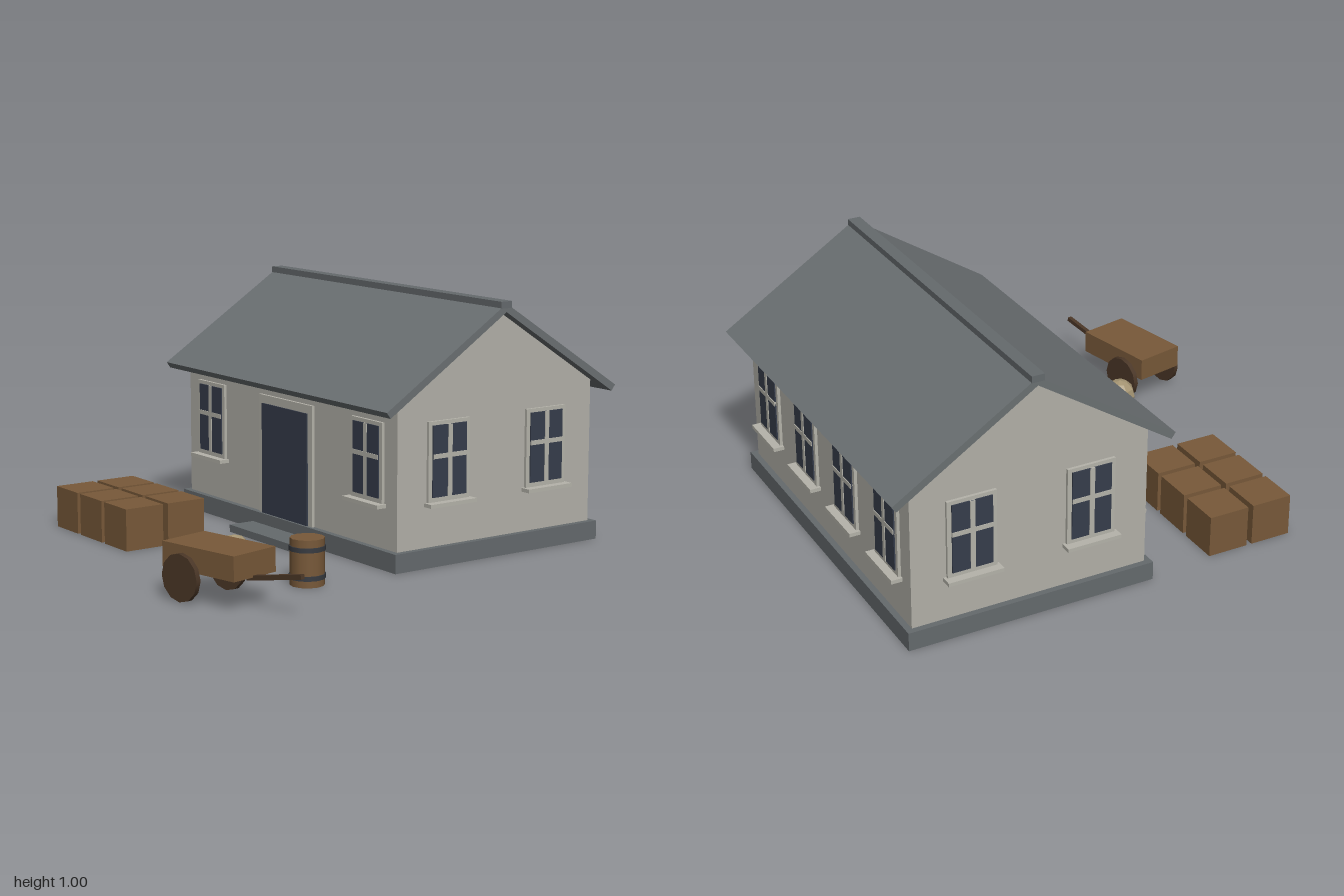
import * as THREE from 'three';

const mat = (name, color, flatShading = false) => {
  const m = new THREE.MeshStandardMaterial({ color, flatShading });
  m.name = name;
  return m;
};

export function createModel() {
  const M = {
    wall: mat('plaster', 0xb2b0a8),
    trim: mat('trim', 0xb5b3aa),
    roof: mat('slate', 0x6b7072),
    stone: mat('stone', 0x656a6d),
    glass: mat('darkGlass', 0x363d4b),
    wood: mat('wood', 0x785939),
    darkWood: mat('darkWood', 0x4a3626),
    sack: mat('sackcloth', 0xa59573, true),
    iron: mat('iron', 0x373a40),
  };
  const root = new THREE.Group();
  root.name = 'cottageYard';

  const add = (parent, name, geo, material, x = 0, y = 0, z = 0) => {
    const mesh = new THREE.Mesh(geo, material);
    mesh.name = name;
    mesh.position.set(x, y, z);
    parent.add(mesh);
    return mesh;
  };
  const box = (parent, name, material, w, h, d, x, y, z) =>
    add(parent, name, new THREE.BoxGeometry(w, h, d), material, x, y, z);
  const group = (parent, name, x = 0, y = 0, z = 0, ry = 0) => {
    const g = new THREE.Group();
    g.name = name;
    g.position.set(x, y, z);
    g.rotation.y = ry;
    parent.add(g);
    return g;
  };
  // Profile in (z, y), extruded along x and centred on it
  const extrudeX = (points, length) => {
    const shape = new THREE.Shape(points.map(([z, y]) => new THREE.Vector2(-z, y)));
    const geo = new THREE.ExtrudeGeometry(shape, { depth: length, bevelEnabled: false });
    geo.translate(0, 0, -length / 2);
    return geo.rotateY(Math.PI / 2);
  };

  // House, centred on its own ridge
  const house = group(root, 'house', -0.155, 0, -0.42);
  const HX = 0.725, HZ = 0.485;
  box(house, 'foundation', M.stone, 1.5, 0.075, 1.02, 0, 0.0375, 0);
  box(house, 'doorStep', M.stone, 0.43, 0.03, 0.12, 0, 0.015, 0.565);
  add(house, 'walls', extrudeX(
    [[-HZ, 0.075], [HZ, 0.075], [HZ, 0.653], [0, 0.965], [-HZ, 0.653]], HX * 2), M.wall);
  add(house, 'roof', extrudeX(
    [[0.556, 0.605], [0.573, 0.629], [0, 0.996], [-0.573, 0.629], [-0.556, 0.605], [0, 0.963]], 1.55), M.roof);
  box(house, 'ridgeCap', M.stone, 1.552, 0.027, 0.052, 0, 0.991, 0);

  // Door
  const door = group(house, 'door', 0, 0, HZ);
  box(door, 'doorFrame', M.trim, 0.375, 0.49, 0.024, 0, 0.32, 0);
  box(door, 'doorPanel', M.glass, 0.316, 0.455, 0.008, 0, 0.3035, 0.014);

  // Windows: frame, panes, crossed bars and sill
  const addWindow = (x, z, ry) => {
    const w = group(house, 'window', x, 0, z, ry);
    box(w, 'windowFrame', M.trim, 0.2, 0.315, 0.024, 0, 0.4075, 0);
    box(w, 'windowGlass', M.glass, 0.164, 0.28, 0.008, 0, 0.41, 0.013);
    box(w, 'verticalBar', M.trim, 0.02, 0.28, 0.009, 0, 0.41, 0.0155);
    box(w, 'crossBar', M.trim, 0.164, 0.018, 0.009, 0, 0.43, 0.0155);
    box(w, 'windowSill', M.trim, 0.225, 0.015, 0.045, 0, 0.244, 0.0225);
  };
  for (const x of [-0.545, 0.545]) addWindow(x, HZ, 0);
  for (const x of [-0.545, -0.182, 0.182, 0.545]) addWindow(x, -HZ, Math.PI);
  for (const s of [-1, 1])
    for (const z of [-0.244, 0.244]) addWindow(s * HX, z, s * Math.PI / 2);

  // Crates in two rows of three
  for (let i = 0; i < 3; i++)
    for (let j = 0; j < 2; j++)
      box(root, 'crate', M.wood, 0.17, 0.17, 0.17, -0.785 + i * 0.193, 0.085, 0.45 + j * 0.193);

  // Sacks
  for (const [x, z] of [[0.18, 0.545], [0.327, 0.665]])
    add(root, 'sack', new THREE.SphereGeometry(0.068, 8, 6), M.sack, x, 0.07, z);

  // Barrel with two hoops
  const barrel = group(root, 'barrel', 0.523, 0, 0.447);
  add(barrel, 'barrelBody', new THREE.CylinderGeometry(0.066, 0.066, 0.18, 12), M.wood, 0, 0.09, 0);
  for (const y of [0.035, 0.142])
    add(barrel, 'barrelHoop', new THREE.CylinderGeometry(0.07, 0.07, 0.018, 12), M.iron, 0, y, 0);

  // Handcart
  const cart = group(root, 'handcart', 0.5225, 0, 0.8375, 0.209);
  box(cart, 'cartBed', M.wood, 0.363, 0.094, 0.214, 0, 0.162, 0);
  box(cart, 'cartHandle', M.darkWood, 0.27, 0.018, 0.018, 0.28, 0.131, 0).rotation.z = 0.18;
  for (const s of [-1, 1]) {
    const wheel = add(cart, 'cartWheel', new THREE.CylinderGeometry(0.09, 0.09, 0.02, 12),
      M.darkWood, -0.073, 0.092, s * 0.119);
    wheel.rotation.x = Math.PI / 2;
  }
  return root;
}
